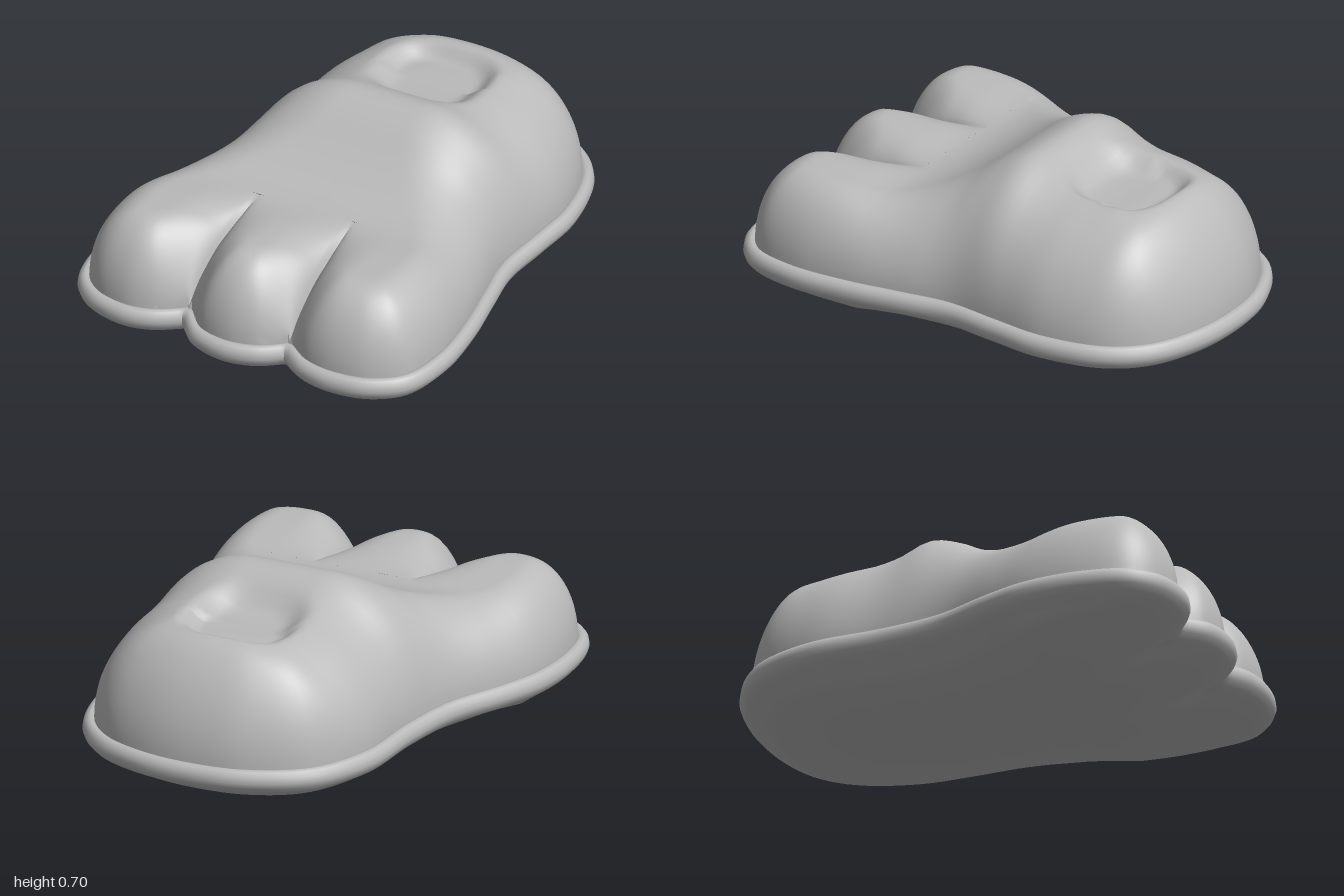
import * as THREE from 'three';
import { toCreasedNormals } from 'three/addons/utils/BufferGeometryUtils.js';

// Footprint points [x, z, anchorX, anchorZ]; anchors lie on a T-shaped spine inside the foot
const BODY = [
  [.2, .9, .23, .38], [.3, .965, .28, .38], [.44, .99, .36, .38], [.6, .96, .42, .38],
  [.73, .85, .42, .38], [.78, .64, .42, .38], [.768, .4, .42, .38], [.73, .17, .05, .38],
  [.7, -.03, .1, 0], [.72, -.25, .11, -.25], [.735, -.48, .11, -.48], [.68, -.73, .11, -.5],
  [.55, -.89, .11, -.5], [.35, -.975, .11, -.5], [.12, -1, .11, -.5], [-.12, -.965, .11, -.5],
  [-.35, -.83, .11, -.5], [-.48, -.58, .11, -.48], [-.515, -.28, .11, -.25], [-.57, -.03, .1, 0],
  [-.68, .19, .05, .38], [-.755, .38, -.42, .38], [-.78, .59, -.42, .38], [-.75, .79, -.42, .38],
  [-.65, .905, -.42, .38], [-.5, .95, -.36, .38], [-.37, .93, -.26, .38], [-.26, .865, -.18, .38],
];
const MIDDLE_TOE = [
  [-.26, .865, -.18, .38], [-.17, .955, -.1, .38], [-.03, .99, .03, .38],
  [.1, .965, .14, .38], [.2, .9, .23, .38],
];
// Height of the upper along its length [z, y]
const CREST = [[-1, .66], [-.78, .685], [-.62, .64], [-.4, .635], [-.28, .66], [-.16, .705],
  [-.04, .665], [.08, .585], [.22, .515], [.36, .485], [.55, .5], [.75, .508], [1, .5]];

const { clamp, lerp, smoothstep } = THREE.MathUtils;

// Sample the outline into columns, each with an edge point, an anchor and a rim scale
function makeColumns(perSegment) {
  const cols = [];
  for (const pts of [BODY, MIDDLE_TOE]) {
    const curve = new THREE.SplineCurve(pts.map(p => new THREE.Vector2(p[0], p[1])));
    const n = (pts.length - 1) * perSegment;
    for (let i = 0; i < n; i++) {
      const k = Math.floor(i / perSegment), f = (i % perSegment) / perSegment;
      cols.push({
        out: curve.getPoint(i / n),
        anchor: new THREE.Vector2(lerp(pts[k][2], pts[k + 1][2], f), lerp(pts[k][3], pts[k + 1][3], f)),
      });
    }
  }
  cols.forEach((c, i) => {
    const a = cols.at(i - 1).out, b = cols[(i + 1) % cols.length].out;
    const tangent = b.clone().sub(a).normalize();
    c.dir = c.anchor.clone().sub(c.out).normalize();
    c.scale = 1 / Math.max(.6, Math.abs(c.dir.cross(tangent)));
  });
  return cols;
}

// Distance from a point to the outline
function edgeDistance(cols, x, z) {
  let best = 9;
  for (let i = 0; i < cols.length; i++) {
    const a = cols[i].out, b = cols[(i + 1) % cols.length].out;
    const dx = b.x - a.x, dz = b.y - a.y;
    const t = clamp(((x - a.x) * dx + (z - a.y) * dz) / (dx * dx + dz * dz), 0, 1);
    best = Math.min(best, Math.hypot(x - a.x - t * dx, z - a.y - t * dz));
  }
  return best;
}

// Smooth interpolation through the crest points
function crest(z) {
  let i = 0;
  while (i < CREST.length - 2 && z > CREST[i + 1][0]) i++;
  const slope = k => {
    const a = CREST[Math.max(0, k - 1)], b = CREST[Math.min(CREST.length - 1, k + 1)];
    return (b[1] - a[1]) / (b[0] - a[0]);
  };
  const [z0, y0] = CREST[i], [z1, y1] = CREST[i + 1];
  const w = z1 - z0, t = clamp((z - z0) / w, 0, 1), u = 1 - t;
  return y0 * (1 + 2 * t) * u * u + slope(i) * w * t * u * u
    + y1 * t * t * (3 - 2 * t) - slope(i + 1) * w * t * t * u;
}

// Distance sideways to the nearer crease between the toes
function creaseDistance(x, z) {
  const t = (z - .38) / .5;
  return Math.min(Math.abs(x - lerp(-.18, -.2625, t)), Math.abs(x - lerp(.23, .2012, t)));
}

function upperHeight(cols, x, z) {
  const d = Math.max(0, edgeDistance(cols, x, z) - .045);
  const radius = lerp(.42, .21, smoothstep(z, -.1, .5));
  const round = Math.sqrt(1 - (1 - Math.min(1, d / radius)) ** 2);
  // Creases between the toes
  const q = Math.min(1, creaseDistance(x, z) / .2);
  const drop = .24 * smoothstep(z, .34, .85) * (1 - Math.sqrt(1 - (1 - q) ** 2));
  // Rounded dent on the heel, steeper at its back
  const r = (Math.abs((x - .11) / .235) ** 3 + Math.abs((z + .48) / .225) ** 3) ** (1 / 3);
  const dent = .065 * (1 - smoothstep(r, z < -.48 ? .68 : .55, 1.05));
  return .19 + (crest(z) - .19 - drop - dent) * round;
}

// Join rings of points into one surface
function loft(rings) {
  const n = rings[0].length, index = [];
  for (let i = 0; i < rings.length - 1; i++) {
    for (let j = 0; j < n; j++) {
      const a = i * n + j, b = i * n + (j + 1) % n;
      index.push(a, b, a + n, b, b + n, a + n);
    }
  }
  const geo = new THREE.BufferGeometry().setFromPoints(rings.flat());
  geo.setIndex(index);
  return toCreasedNormals(geo, .9);
}

export function createModel() {
  const grey = new THREE.MeshStandardMaterial({ color: 0xbababa });
  grey.name = 'grey';
  const group = new THREE.Group();
  group.name = 'foot';
  const cols = makeColumns(7);
  const at = (c, inset) => c.out.clone().addScaledVector(c.dir, inset * c.scale);

  // Upper: rings from the rim to the spine
  const upperRings = [];
  const N = 40;
  for (let i = 0; i <= N; i++) {
    const f = (i / N) ** 1.8;
    upperRings.push(cols.map(c => {
      const p = at(c, .045).lerp(c.anchor, f);
      return new THREE.Vector3(p.x, i ? upperHeight(cols, p.x, p.y) : .18, p.y);
    }));
  }
  const upper = new THREE.Mesh(loft(upperRings), grey);
  upper.name = 'upper';

  // Sole: bowed underside, then the rounded rim
  const bottom = (x, z) => .05 * z * z + .07 * x * x;
  const soleRings = [];
  const M = 14;
  for (let i = 0; i <= M; i++) {
    const f = i / M;
    soleRings.push(cols.map(c => {
      const p = c.anchor.clone().lerp(at(c, .06), f);
      const crease = .07 * smoothstep(p.y, .5, .88) * Math.exp(-creaseDistance(p.x, p.y) / .05);
      return new THREE.Vector3(p.x, lerp(bottom(p.x, p.y) + crease, .09, f ** 8), p.y);
    }));
  }
  for (const [inset, y] of [[.028, .105], [.008, .127], [0, .15], [.004, .175], [.016, .191],
    [.03, .197], [.045, .192], [.06, .18]]) {
    soleRings.push(cols.map(c => {
      const p = at(c, inset);
      return new THREE.Vector3(p.x, y, p.y);
    }));
  }
  const sole = new THREE.Mesh(loft(soleRings), grey);
  sole.name = 'sole';

  group.add(upper, sole);
  return group;
}
